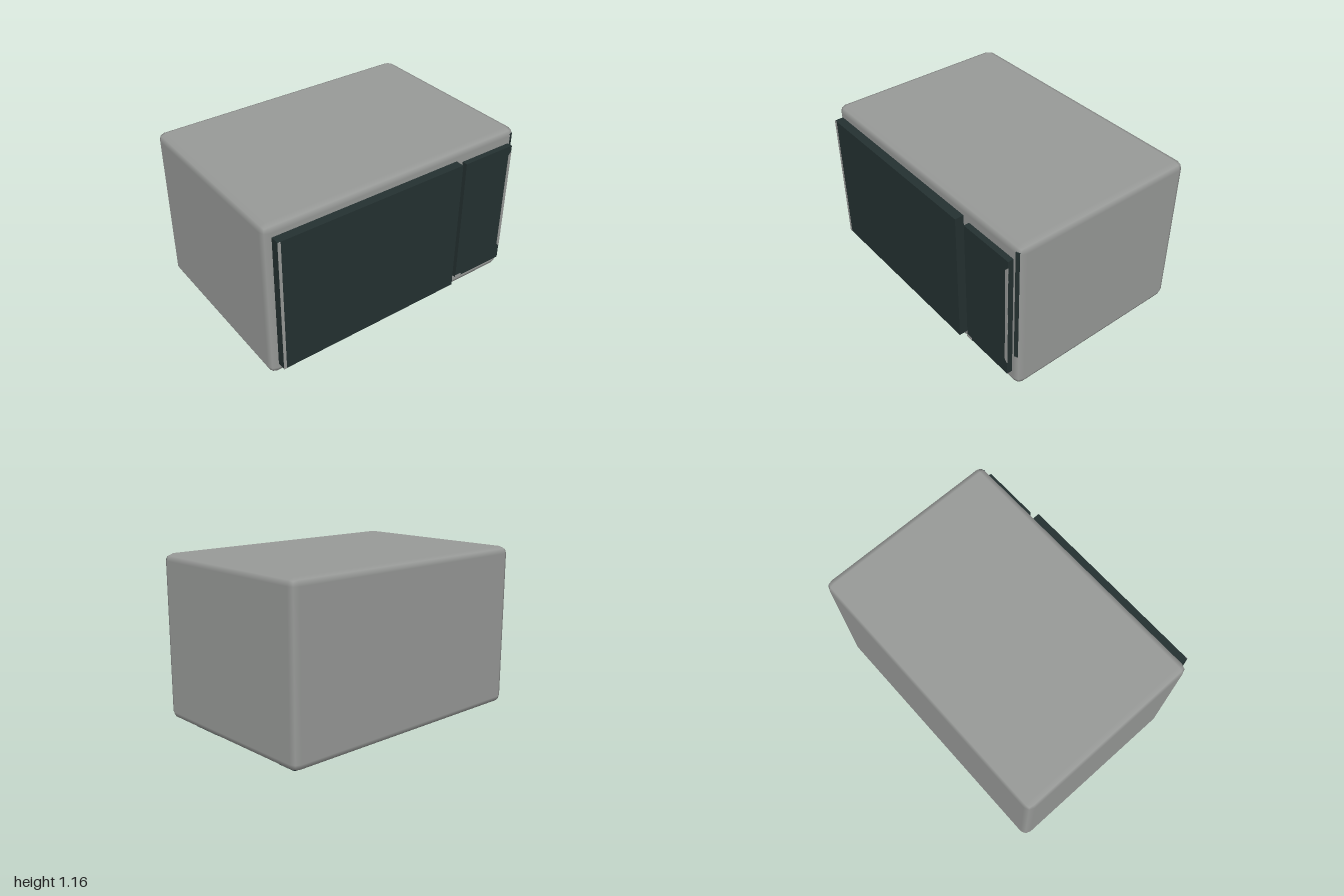
import * as THREE from 'three';
import { RoundedBoxGeometry } from 'three/addons/geometries/RoundedBoxGeometry.js';

const grey = new THREE.MeshStandardMaterial({ color: 0x989a98 });
grey.name = 'casing grey';
const dark = new THREE.MeshStandardMaterial({ color: 0x243131 });
dark.name = 'dark glass';

export function createModel() {
  const model = new THREE.Group();
  model.name = 'microwave';

  const add = (name, geometry, material, x, y, z) => {
    const mesh = new THREE.Mesh(geometry, material);
    mesh.name = name;
    mesh.position.set(x, y, z);
    model.add(mesh);
    return mesh;
  };
  // Box given by its minimum and maximum corners
  const block = (name, material, a, b) => add(
    name, new THREE.BoxGeometry(b[0] - a[0], b[1] - a[1], b[2] - a[2]), material,
    (a[0] + b[0]) / 2, (a[1] + b[1]) / 2, (a[2] + b[2]) / 2);

  // Casing with a two-step rounded edge
  add('casing', new RoundedBoxGeometry(2, 1.16, 1.365, 1, 0.05), grey, 0, 0.58, -0.0325);

  // Door and control panel
  block('door', dark, [-0.945, 0.085, 0.6], [0.47, 1.08, 0.713]);
  block('doorEdgeTrim', grey, [-0.945, 0.085, 0.711], [-0.925, 1.08, 0.715]);
  block('controlPanel', dark, [0.525, 0.108, 0.6], [0.94, 1.057, 0.69]);
  block('panelCornerTrim', grey, [0.525, 0.108, 0.688], [0.575, 0.126, 0.693]);

  // Slim light strip with tapered ends on the panel
  const strip = new THREE.Shape([
    [0.94, 0.21], [0.94, 1.01], [0.918, 0.985], [0.918, 0.235],
  ].map(([x, y]) => new THREE.Vector2(x, y)));
  add('panelStrip', new THREE.ExtrudeGeometry(strip, { depth: 0.005, bevelEnabled: false }),
    grey, 0, 0, 0.688);

  // Dark seam lying on the rounded front edge
  const seam = add('edgeSeam', new THREE.BoxGeometry(0.027, 0.86, 0.006), dark, 0.9677, 0.69, 0.6427);
  seam.rotation.y = Math.PI / 8;

  // Dark marks along the lower side edge
  for (const [z, length] of [[0.22, 0.25], [-0.61, 0.13]]) {
    const mark = add('lowerEdgeMark', new THREE.BoxGeometry(0.03, 0.004, length), dark, 0.969, 0.0078, z);
    mark.rotation.z = Math.PI / 8;
  }

  return model;
}
